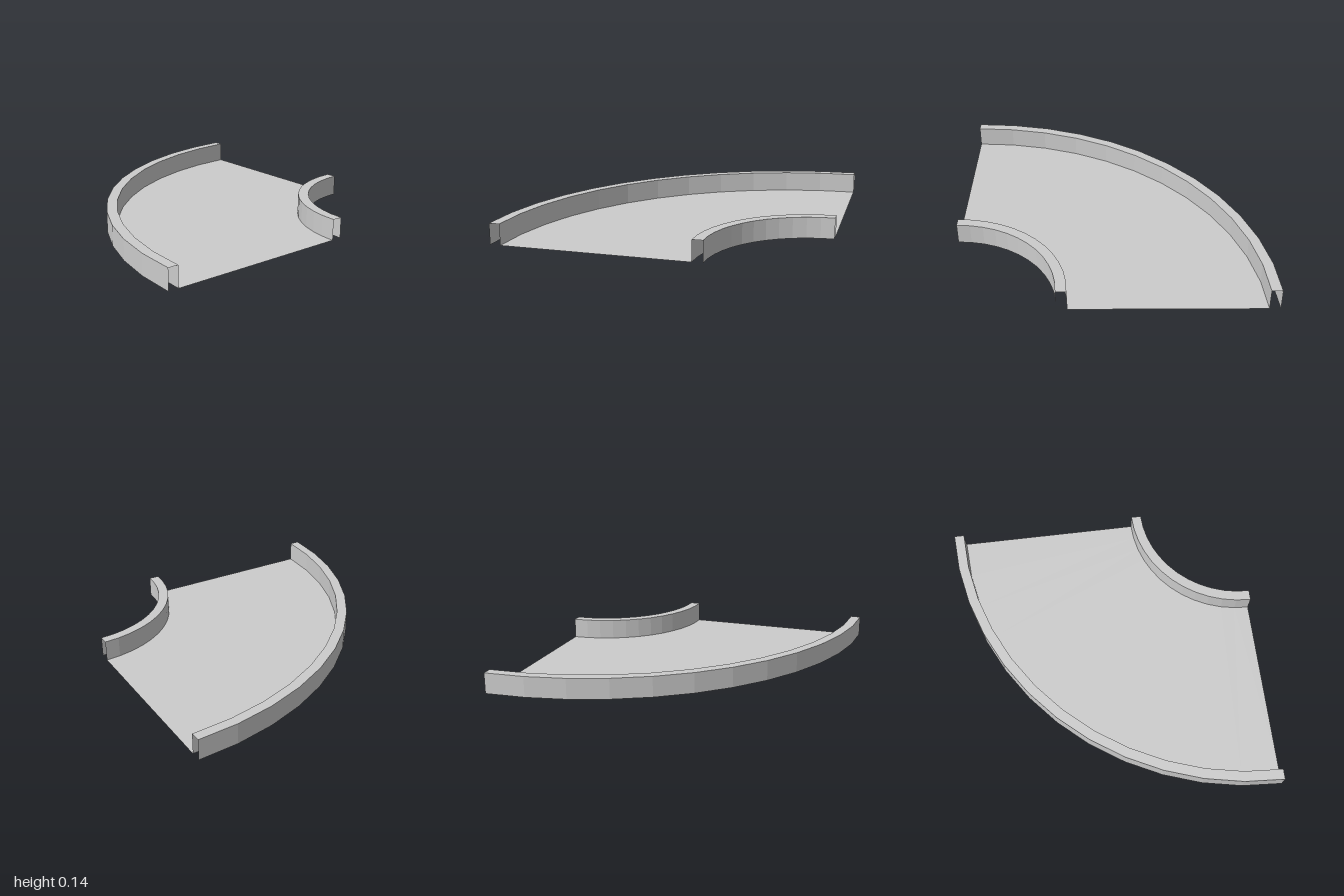
import * as THREE from 'three';

const SEGMENTS = 12;   // facets per quarter turn
const HEIGHT = 0.135;  // rail height
const RAIL = 0.067;    // rail width
const OUTER = 2, INNER = 0.667;

export function createModel() {
  const grey = new THREE.MeshStandardMaterial({ color: 0xcccccc, side: THREE.DoubleSide, flatShading: true });
  grey.name = 'light grey';

  const group = new THREE.Group();
  group.name = 'curvedTrack';

  // Sweep a [radius, height] profile through a quarter turn about the front left corner
  function sweep(name, profile) {
    const points = profile.map(([r, y]) => new THREE.Vector2(r, y));
    const geometry = new THREE.LatheGeometry(points, SEGMENTS, Math.PI, Math.PI / 2).toNonIndexed();
    geometry.computeVertexNormals();
    const mesh = new THREE.Mesh(geometry, grey);
    mesh.name = name;
    mesh.position.set(1, 0, 1);
    group.add(mesh);
  }

  // Hollow rail, open at the ends and underneath
  const rail = (outer) => [
    [outer, 0], [outer, HEIGHT], [outer - RAIL, HEIGHT], [outer - RAIL, 0],
  ];

  sweep('outerRail', rail(OUTER));
  sweep('innerRail', rail(INNER + RAIL));
  // Flat bed between the rails
  sweep('trackBed', [[OUTER - RAIL, 0], [INNER + RAIL, 0]]);

  return group;
}
